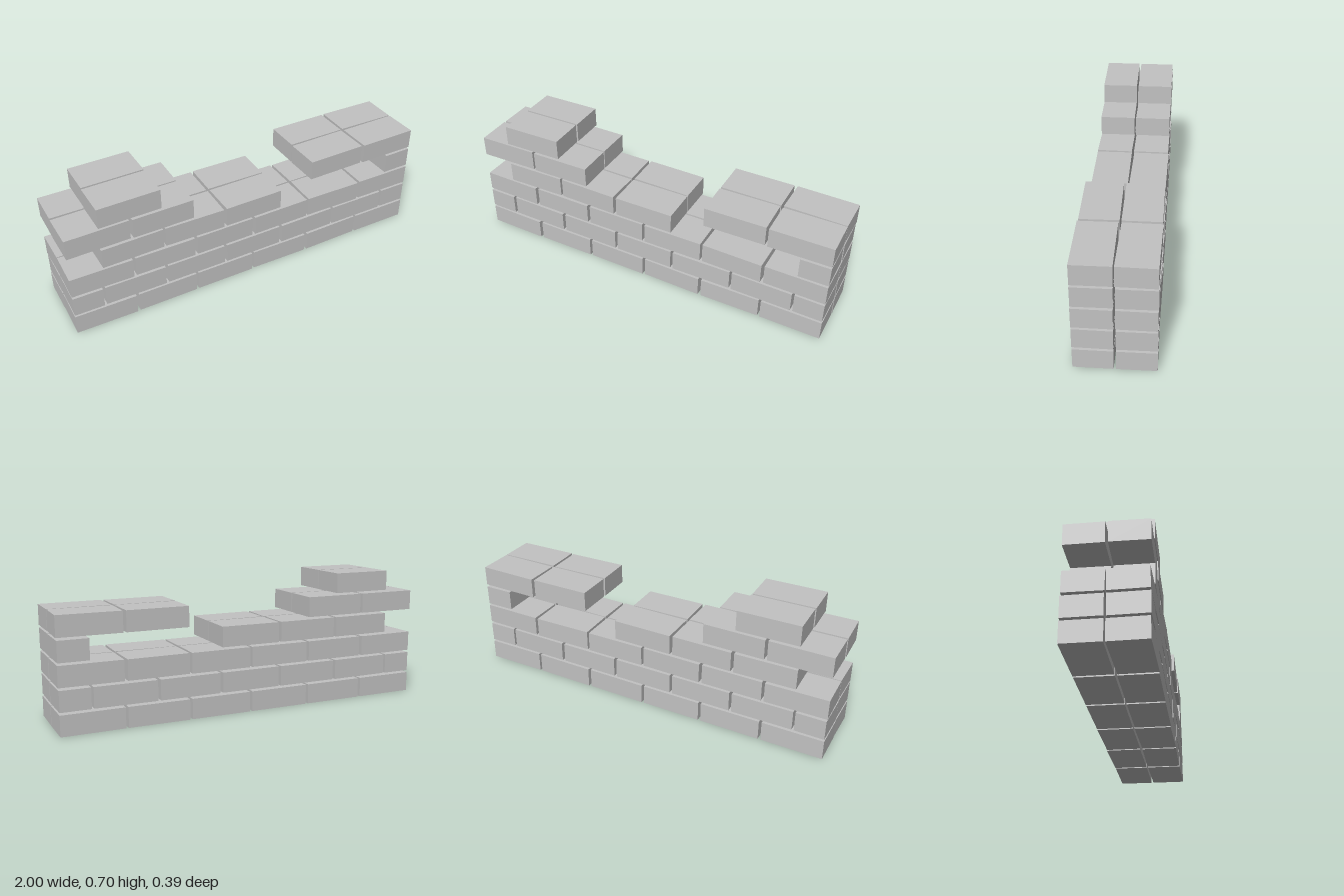
import * as THREE from 'three';

export function createModel() {
  const wall = new THREE.Group();
  wall.name = 'brickWall';
  const stone = new THREE.MeshStandardMaterial({ color: 0xc2c2c2 });
  stone.name = 'greyBrick';

  const height = 0.106, depth = 0.187, rise = 0.1185, pitch = 0.3354;
  const fullBrick = new THREE.BoxGeometry(0.321, height, depth);
  const halfBrick = new THREE.BoxGeometry(0.154, height, depth);

  // Small seeded generator for the slight twist of each brick
  let seed = 11;
  const random = () => {
    seed = (seed * 16807) % 2147483647;
    return seed / 2147483647;
  };

  // Courses from the ground up: full bricks by position along x in pitches, half bricks by end
  const courses = [
    { full: [-2.5, -1.5, -0.5, 0.5, 1.5, 2.5], half: [] },
    { full: [-2, -1, 0, 1, 2], half: [-1, 1] },
    { full: [-2.5, -1.5, -0.5, 0.5, 1.5, 2.5], half: [] },
    { full: [-2, -1, 0], half: [1] },
    { full: [-2.5, -1.5, 1.5, 2.5], half: [] },
    { full: [-2], half: [] },
  ];

  courses.forEach(({ full, half }, level) => {
    const course = new THREE.Group();
    course.name = `course${level + 1}`;
    course.position.y = level * rise + height / 2;

    const addBrick = (name, geometry, x, z) => {
      const brick = new THREE.Mesh(geometry, stone);
      brick.name = name;
      brick.position.set(x, 0, z);
      brick.rotation.y = (random() - 0.5) * 0.034;
      course.add(brick);
    };

    // Two layers, front and back
    for (const z of [0.0985, -0.0985]) {
      const layer = z > 0 ? 'front' : 'back';
      full.forEach((n) => addBrick(`${layer}Brick`, fullBrick, n * pitch, z));
      half.forEach((end) => addBrick(`${layer}HalfBrick`, halfBrick, end * 0.9215, z));
    }
    wall.add(course);
  });
  return wall;
}
